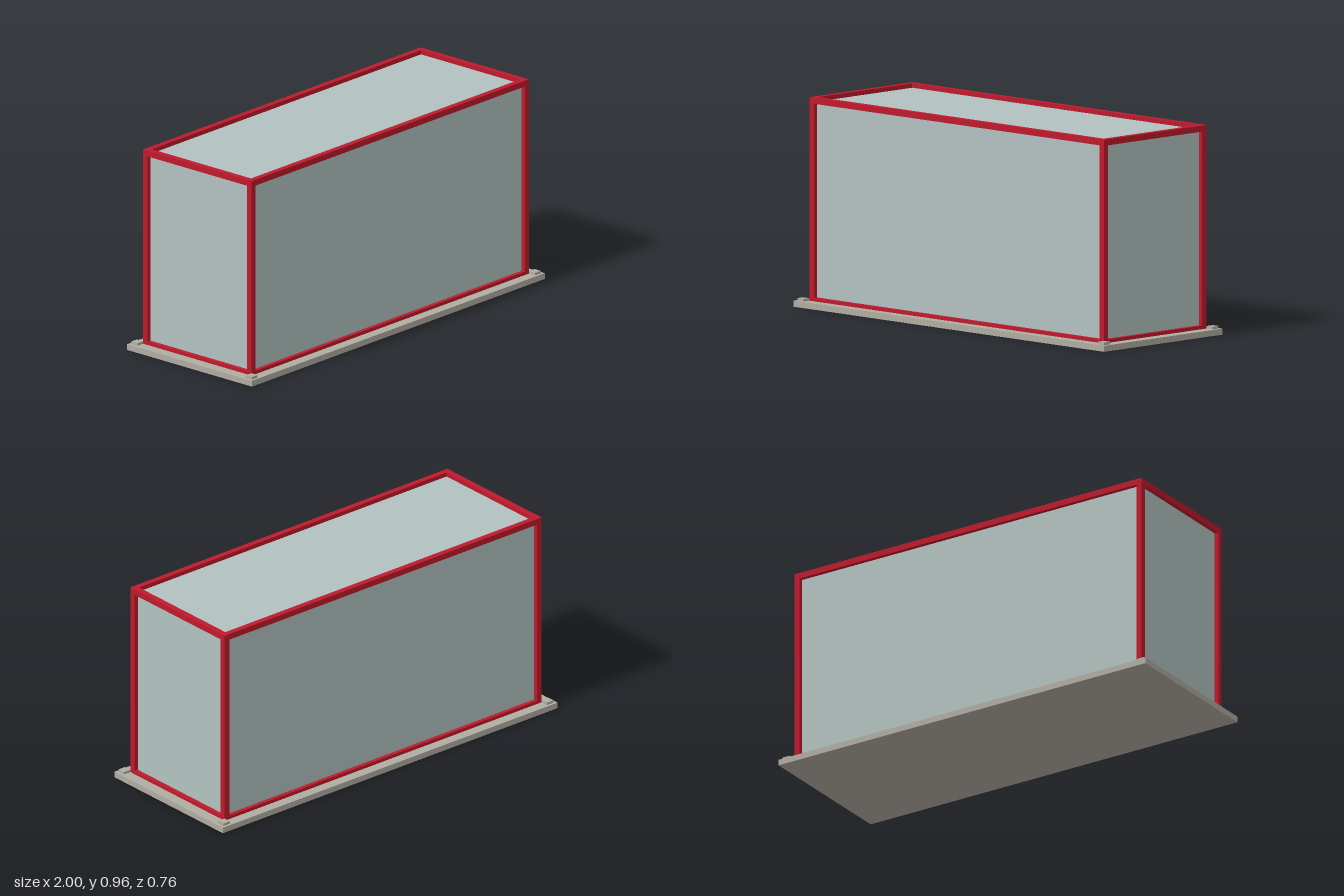
import * as THREE from 'three';

const mat = (name, color) => {
  const m = new THREE.MeshStandardMaterial({ color });
  m.name = name;
  return m;
};

export function createModel() {
  const model = new THREE.Group();
  model.name = 'framedBox';
  const red = mat('frameRed', 0xbe1a2c);
  const glass = mat('panelGreyGreen', 0xb2c2c0);
  const stone = mat('baseGrey', 0xb0aca2);

  const box = (name, material, [w, h, d], [x, y, z]) => {
    const mesh = new THREE.Mesh(new THREE.BoxGeometry(w, h, d), material);
    mesh.name = name;
    mesh.position.set(x, y, z);
    model.add(mesh);
  };

  const X = 0.947, Z = 0.331; // outer half sizes of the frame
  const bottom = 0.016, top = 0.965;
  const t = 0.028; // bar thickness
  const recess = 0.02; // panels sit behind the bar faces
  const midY = (bottom + top) / 2;

  // Base slab
  box('base', stone, [2, 0.028, 0.762], [0, 0.014, 0]);

  // Panelled body
  box('panels', glass,
    [2 * (X - recess), top - bottom - 2 * recess, 2 * (Z - recess)], [0, midY, 0]);

  for (const sx of [-1, 1]) {
    for (const sz of [-1, 1]) {
      // Corner posts and the small pads outside them
      box('cornerPost', red, [t, top - bottom, t],
        [sx * (X - t / 2), midY, sz * (Z - t / 2)]);
      box('cornerPad', stone, [0.038, 0.02, 0.038], [sx * 0.967, 0.03, sz * 0.35]);
    }
  }

  // Horizontal rails between the posts
  for (const y of [bottom + t / 2, top - t / 2]) {
    for (const s of [-1, 1]) {
      box('longRail', red, [2 * (X - t), t, t], [0, y, s * (Z - t / 2)]);
      box('shortRail', red, [t, t, 2 * (Z - t)], [s * (X - t / 2), y, 0]);
    }
  }

  return model;
}
